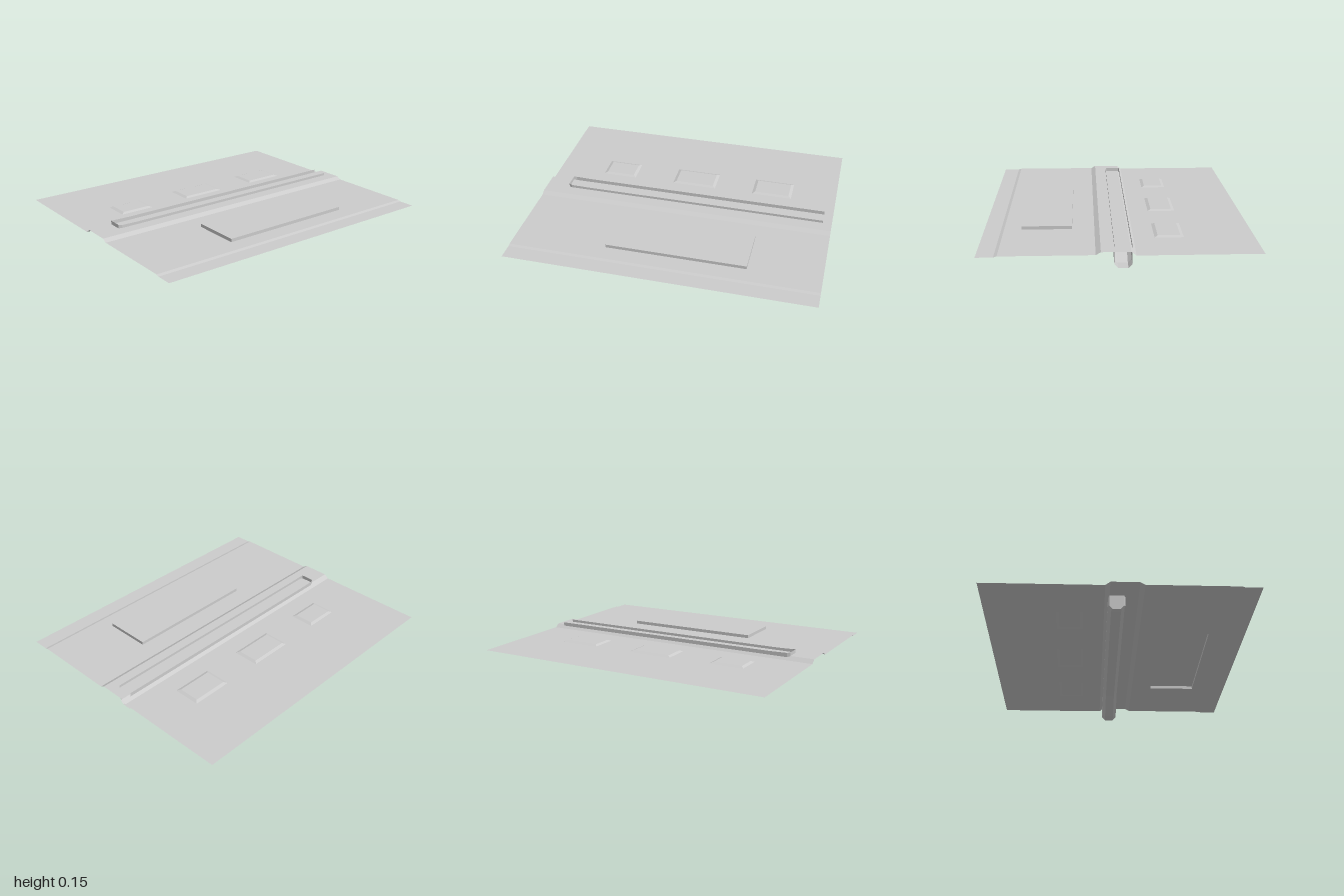
import * as THREE from 'three';

const material = new THREE.MeshStandardMaterial({ color: 0xcccccc, flatShading: true, side: THREE.DoubleSide });

function addMesh(parent, name, geometry) {
  const mesh = new THREE.Mesh(geometry, material);
  mesh.name = name;
  parent.add(mesh);
  return mesh;
}

// Skin a list of cross-sections that all have the same number of points
function loft(sections, closed = false) {
  const n = sections[0].length, index = [];
  for (let s = 0; s < sections.length - 1; s++) {
    for (let i = 0; i < (closed ? n : n - 1); i++) {
      const a = s * n + i, b = s * n + (i + 1) % n;
      index.push(a, b, b + n, a, b + n, a + n);
    }
  }
  const g = new THREE.BufferGeometry();
  g.setAttribute('position', new THREE.Float32BufferAttribute(sections.flat(2), 3));
  g.setIndex(index);
  g.computeVertexNormals();
  return g;
}

const rectangle = ([x0, x1, z0, z1]) =>
  [[x0, z0], [x1, z0], [x1, z1], [x0, z1]].map(([x, z]) => new THREE.Vector2(x, -z));

// Flat horizontal sheet with rectangular openings
function sheet(rect, y, openings = []) {
  const shape = new THREE.Shape(rectangle(rect));
  openings.forEach(o => shape.holes.push(new THREE.Path(rectangle(o))));
  return new THREE.ShapeGeometry(shape).rotateX(-Math.PI / 2).translate(0, y, 0);
}

// Raised pressing, open below: four walls and a top
function addPressing(parent, name, [x0, x1, z0, z1], y, height, inset) {
  const group = new THREE.Group();
  group.name = name;
  const ring = (d, h) => [[x0 + d, h, z0 + d], [x1 - d, h, z0 + d], [x1 - d, h, z1 - d], [x0 + d, h, z1 - d]];
  addMesh(group, name + 'Walls', loft([ring(inset, y + height), ring(0, y)], true));
  addMesh(group, name + 'Top', sheet([x0 + inset, x1 - inset, z0 + inset, z1 - inset], y + height));
  parent.add(group);
}

export function createModel() {
  const model = new THREE.Group();
  model.name = 'floorPanel';

  const lowY = 0.1, panelY = 0.106, ridgeY = 0.123;
  const pads = [[-0.4, -0.22, -0.695, -0.42], [-0.4, -0.22, -0.155, 0.15], [-0.39, -0.22, 0.43, 0.665]];
  const box = [0.285, 0.6, -0.53, 0.388];

  // Floor sheets, with openings below the pressings
  addMesh(model, 'rightFloor', sheet([-0.835, -0.09, -1, 1], lowY, pads));
  addMesh(model, 'leftFloor', sheet([0.145, 0.71, -1, 1], panelY, [box]));

  // Raised central ridge and outer edge step
  const strip = points => loft([-1, 1].map(z => points.map(([x, y]) => [x, y, z])).reverse());
  addMesh(model, 'centreRidge', strip([[-0.09, lowY], [-0.06, ridgeY], [0.115, ridgeY], [0.145, panelY]]));
  addMesh(model, 'edgeStep', strip([[0.71, panelY], [0.73, lowY], [0.835, lowY]]));

  // Shallow pads and the tall box pressing
  pads.forEach((p, i) => addPressing(model, 'pad' + (i + 1), p, lowY, 0.008, 0.02));
  addPressing(model, 'boxPressing', box, panelY, 0.021, 0);

  // Long U-shaped channel: [z, bottom height, rim height, half width]
  const centreX = -0.0175;
  const stations = [
    [0.84, 0.03, 0.147, 0.045], [0.82, 0.038, 0.143, 0.0525], [0.71, 0.08, 0.14, 0.0525],
    [-0.62, 0.08, 0.14, 0.0525], [-0.85, 0, 0.14, 0.0525], [-0.94, 0, 0.14, 0.0525],
  ];
  const sections = stations.map(([z, bottom, rim, w]) => [
    [-w, rim], [-w, bottom + 0.024], [-w + 0.022, bottom],
    [w - 0.022, bottom], [w, bottom + 0.024], [w, rim],
  ].map(([x, y]) => [centreX + x, y, z]));
  addMesh(model, 'channel', loft(sections));

  // Plate closing the front end of the channel
  const plate = new THREE.Shape(sections[0].map(([x, y]) => new THREE.Vector2(x, y)));
  addMesh(model, 'channelFrontPlate', new THREE.ShapeGeometry(plate).translate(0, 0, stations[0][0]));

  return model;
}
